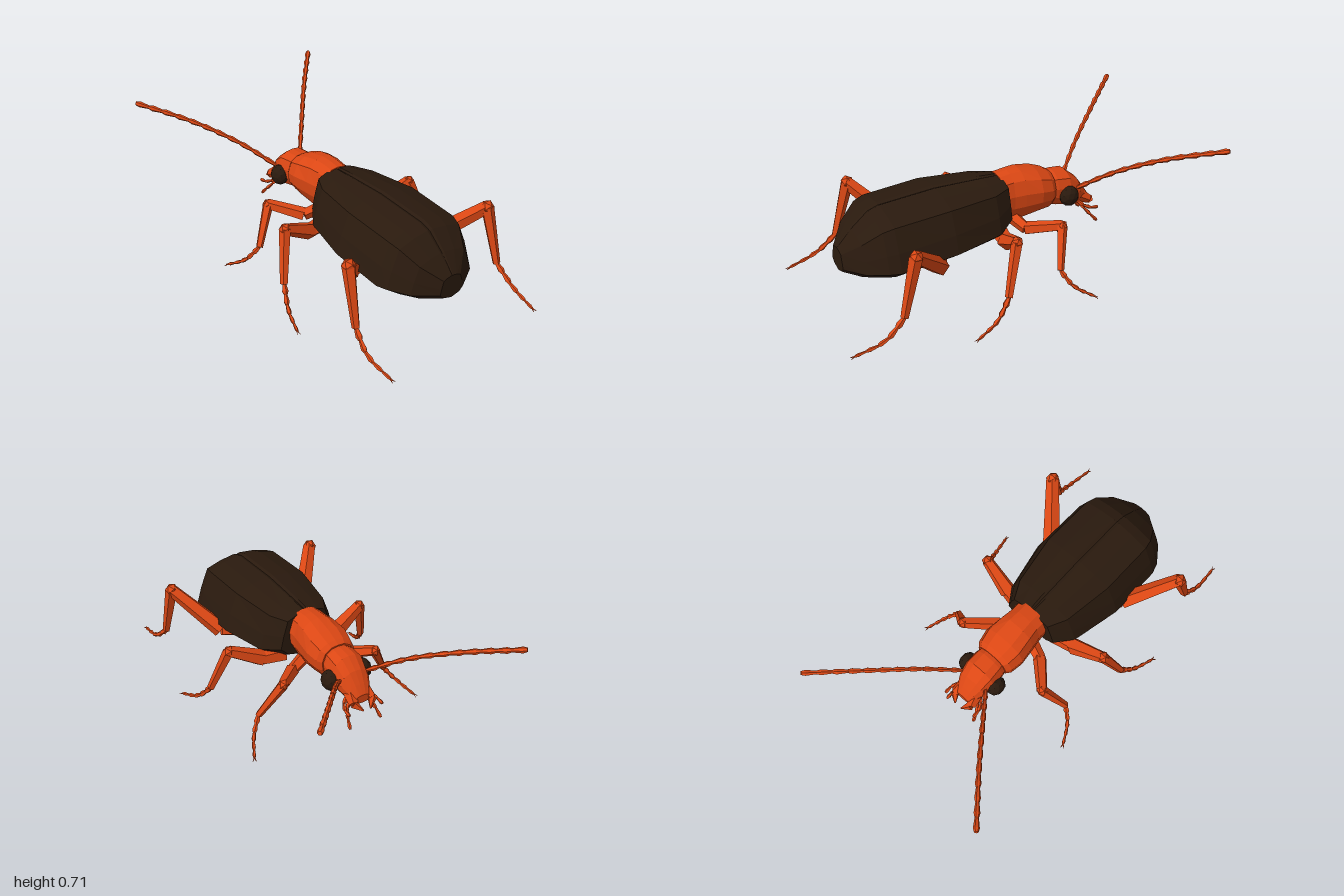
import * as THREE from 'three';

const orange = new THREE.MeshStandardMaterial({ color: 0xdb4714, flatShading: true });
const dark = new THREE.MeshStandardMaterial({ color: 0x2a1a0e, flatShading: true });
const V = (p) => new THREE.Vector3(...p);

function add(parent, name, geometry, material) {
  const mesh = new THREE.Mesh(geometry, material);
  mesh.name = name;
  parent.add(mesh);
  return mesh;
}

// Closed body through sections [z, halfWidth, bottomY, topY]; half profile [u, v] runs bottom to top
function loft(sections, half) {
  const inner = half.slice(1, -1).reverse().map(([u, v]) => [-u, v]);
  const ring = [...half, ...inner];
  const n = ring.length, pos = [], idx = [];
  for (const [z, w, b, t] of sections) {
    for (const [u, v] of ring) pos.push(u * w, b + v * (t - b), z);
  }
  for (let i = 0; i < sections.length - 1; i++) {
    for (let j = 0; j < n; j++) {
      const a = i * n + j, c = i * n + (j + 1) % n;
      idx.push(a, c, c + n, a, c + n, a + n);
    }
  }
  // End caps as fans around a centre point
  for (const end of [0, sections.length - 1]) {
    const [z, , b, t] = sections[end], centre = pos.length / 3;
    pos.push(0, (b + t) / 2, z);
    for (let j = 0; j < n; j++) {
      const a = end * n + j, c = end * n + (j + 1) % n;
      idx.push(...(end ? [centre, a, c] : [centre, c, a]));
    }
  }
  const g = new THREE.BufferGeometry();
  g.setAttribute('position', new THREE.Float32BufferAttribute(pos, 3));
  g.setIndex(idx);
  g.computeVertexNormals();
  return g;
}

// Tapered prism from p to q
function limb(parent, name, p, q, r1, r2, sides = 5, material = orange) {
  const d = q.clone().sub(p);
  const mesh = add(parent, name, new THREE.CylinderGeometry(r2, r1, d.length(), sides), material);
  mesh.position.copy(p).addScaledVector(d, 0.5);
  mesh.quaternion.setFromUnitVectors(new THREE.Vector3(0, 1, 0), d.normalize());
  return mesh;
}

// Chain of small joints along a curve, each flaring toward its far end
function jointed(parent, name, points, count, r1, r2, sides = 6) {
  const curve = new THREE.CatmullRomCurve3(points.map(V));
  for (let i = 0; i < count; i++) {
    const r = THREE.MathUtils.lerp(r1, r2, i / (count - 1));
    const p = curve.getPointAt(i / count), q = curve.getPointAt((i + 1) / count);
    const m = p.clone().lerp(q, 0.72);
    limb(parent, name, p, m, r * 0.6, r, sides);
    limb(parent, name, m, q, r, r * 0.65, sides);
  }
  return curve;
}

// Hip, knee, ankle and foot points with radii
const legs = [
  { name: 'frontLeg', root: [0.05, 0.33, -0.05], hip: [0.14, 0.30, -0.08], knee: [0.27, 0.345, -0.21],
    ankle: [0.375, 0.16, -0.145], mid: [0.43, 0.085, -0.19], tip: [0.48, 0.03, -0.28], r: [0.036, 0.028, 0.018] },
  { name: 'middleLeg', root: [0.1, 0.31, 0.06], hip: [0.22, 0.31, 0.08], knee: [0.39, 0.395, 0.11],
    ankle: [0.46, 0.15, 0.19], mid: [0.495, 0.06, 0.27], tip: [0.525, 0.012, 0.385], r: [0.045, 0.03, 0.02] },
  { name: 'hindLeg', root: [0.1, 0.27, 0.40], hip: [0.25, 0.285, 0.45], knee: [0.425, 0.48, 0.65],
    ankle: [0.44, 0.19, 0.725], mid: [0.455, 0.1, 0.83], tip: [0.445, 0.058, 0.98], r: [0.047, 0.034, 0.02] },
];

function buildLeg(l) {
  const g = new THREE.Group();
  g.name = l.name;
  const [hip, knee, ankle] = [l.hip, l.knee, l.ankle].map(V);
  limb(g, 'coxa', V(l.root), hip, l.r[0], l.r[0] * 0.85);
  limb(g, 'femur', hip, knee, l.r[0], l.r[1]);
  limb(g, 'tibia', knee, ankle, l.r[1], l.r[2]);
  add(g, 'kneeJoint', new THREE.IcosahedronGeometry(l.r[1] * 1.05), orange).position.copy(knee);
  const curve = jointed(g, 'tarsus', [l.ankle, l.mid, l.tip], 5, l.r[2] * 0.85, 0.009, 5);
  // Forked claws
  const tip = V(l.tip), dir = curve.getTangentAt(1);
  const across = new THREE.Vector3(0, 1, 0).cross(dir).normalize();
  for (const s of [-1, 1]) {
    const end = tip.clone().addScaledVector(dir, 0.022).addScaledVector(across, s * 0.009);
    limb(g, 'claw', tip, end, 0.004, 0.001, 4);
  }
  return g;
}

// Everything that is paired, on the +x side
function buildSide() {
  const g = new THREE.Group();
  for (const l of legs) g.add(buildLeg(l));

  const antenna = new THREE.Group();
  antenna.name = 'antenna';
  jointed(antenna, 'antennaJoint', [[0.075, 0.42, -0.41], [0.2, 0.53, -0.56], [0.36, 0.625, -0.755],
    [0.56, 0.703, -0.985]], 11, 0.014, 0.016);
  g.add(antenna);

  const eye = add(g, 'eye', new THREE.IcosahedronGeometry(0.055, 1), dark);
  eye.position.set(0.093, 0.395, -0.355);
  eye.scale.set(0.8, 1, 0.95);

  // Mandible curving in toward the middle
  const jaw = [[0.04, 0.355, -0.45], [0.053, 0.325, -0.5], [0.02, 0.297, -0.538]].map(V);
  limb(g, 'mandible', jaw[0], jaw[1], 0.035, 0.024);
  limb(g, 'mandibleTip', jaw[1], jaw[2], 0.024, 0.004);

  jointed(g, 'outerPalp', [[0.05, 0.33, -0.43], [0.09, 0.3, -0.47], [0.095, 0.29, -0.53]], 3, 0.011, 0.01, 5);
  jointed(g, 'innerPalp', [[0.04, 0.32, -0.44], [0.075, 0.265, -0.48], [0.09, 0.208, -0.53]], 3, 0.011, 0.01, 5);
  return g;
}

export function createModel() {
  const model = new THREE.Group();
  model.name = 'beetle';

  // Wing cases and belly, with a shallow seam along the back
  const shell = [[0, 0], [0.7, 0.11], [1, 0.28], [0.9, 0.55], [0.73, 0.88], [0.4, 0.96], [0.06, 1], [0, 0.98]];
  add(model, 'abdomen', loft([
    [0.005, 0.15, 0.305, 0.563], [0.1, 0.215, 0.262, 0.568], [0.36, 0.27, 0.24, 0.576],
    [0.655, 0.267, 0.212, 0.557], [0.71, 0.25, 0.22, 0.538], [0.8, 0.185, 0.235, 0.46],
    [0.875, 0.07, 0.255, 0.375],
  ], shell), dark);

  // Thorax
  const round = [[0, 0], [0.6, 0.08], [0.95, 0.35], [1, 0.6], [0.8, 0.86], [0.4, 0.98], [0, 1]];
  add(model, 'thorax', loft([
    [-0.28, 0.09, 0.34, 0.52], [-0.255, 0.11, 0.33, 0.535], [-0.19, 0.122, 0.325, 0.56],
    [-0.1, 0.11, 0.305, 0.578], [-0.04, 0.1, 0.3, 0.576], [0.02, 0.1, 0.32, 0.568],
  ], round), orange);

  // Head sloping down to the mouth
  add(model, 'head', loft([
    [-0.5, 0.04, 0.315, 0.36], [-0.47, 0.06, 0.305, 0.405], [-0.43, 0.08, 0.305, 0.46],
    [-0.37, 0.092, 0.31, 0.51], [-0.3, 0.088, 0.325, 0.517], [-0.26, 0.08, 0.34, 0.51],
  ], round), orange);

  const left = buildSide();
  left.name = 'leftSide';
  const right = buildSide();
  right.name = 'rightSide';
  right.scale.x = -1;
  model.add(left, right);
  return model;
}
